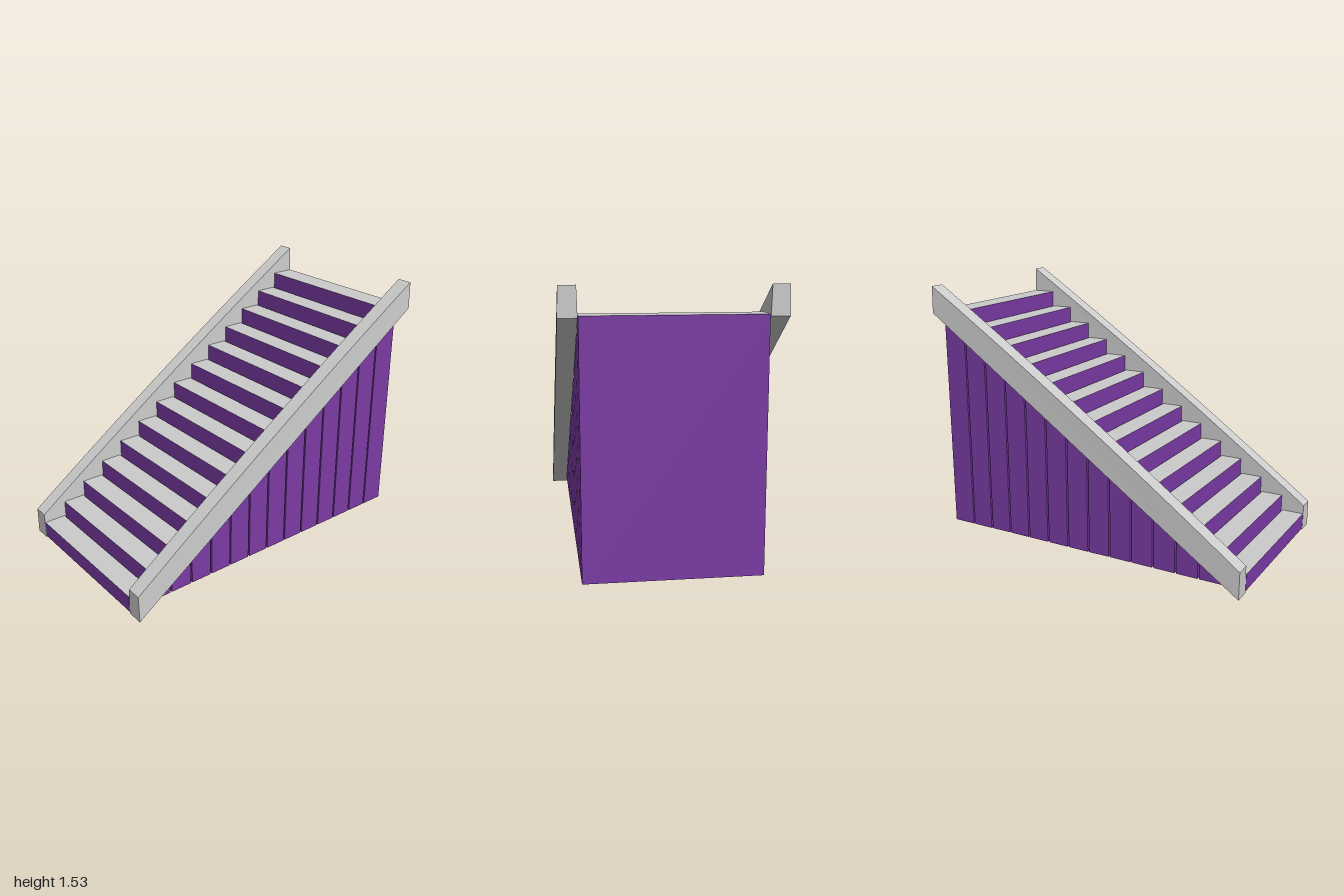
import * as THREE from 'three';

const grey = new THREE.MeshStandardMaterial({ color: 0xcccccc });
const purple = new THREE.MeshStandardMaterial({ color: 0x7b3ba5 });

const STEPS = 14, RUN = 2 / STEPS, RISE = 0.0979, GAP = 0.01, BASE = 0.01;
const WIDTH = 0.955;

// One full-height block per step: grey tread on top, purple elsewhere
function createStep(i) {
  const height = RISE * (i + 1);
  const front = 1 - RUN * i;
  const depth = i === STEPS - 1 ? RUN : RUN - GAP;
  const step = new THREE.Mesh(
    new THREE.BoxGeometry(WIDTH, height, depth),
    [purple, purple, grey, purple, purple, purple]
  );
  step.position.set(0, BASE + height / 2, front - depth / 2);
  step.name = 'step' + (i + 1);
  return step;
}

// Sloping side rail with a slightly bowed top, narrowing a little upwards
function createRail(side) {
  const shape = new THREE.Shape();
  shape.moveTo(-1, 0);
  shape.lineTo(1, 1.37);
  const segments = 16;
  for (let i = 0; i <= segments; i++) {
    const s = 1 - (2 * i) / segments;
    shape.lineTo(s, 0.16 + 0.685 * (s + 1) + 0.025 * (1 - s * s));
  }
  const geometry = new THREE.ExtrudeGeometry(shape, { depth: 0.1, bevelEnabled: false });
  geometry.translate(0, 0, -0.05);
  geometry.rotateY(Math.PI / 2);

  // Narrow the vertices of the top edge
  const p = geometry.attributes.position;
  for (let i = 0; i < p.count; i++) {
    const above = p.getY(i) - 0.685 * (1 - p.getZ(i));
    if (above > 0.1) p.setX(i, p.getX(i) * 0.91);
  }
  geometry.computeVertexNormals();

  const rail = new THREE.Mesh(geometry, grey);
  rail.position.x = side * 0.53;
  rail.name = side > 0 ? 'leftRail' : 'rightRail';
  return rail;
}

export function createModel() {
  const model = new THREE.Group();
  model.name = 'staircase';

  const steps = new THREE.Group();
  steps.name = 'steps';
  for (let i = 0; i < STEPS; i++) steps.add(createStep(i));

  model.add(steps, createRail(1), createRail(-1));
  return model;
}
